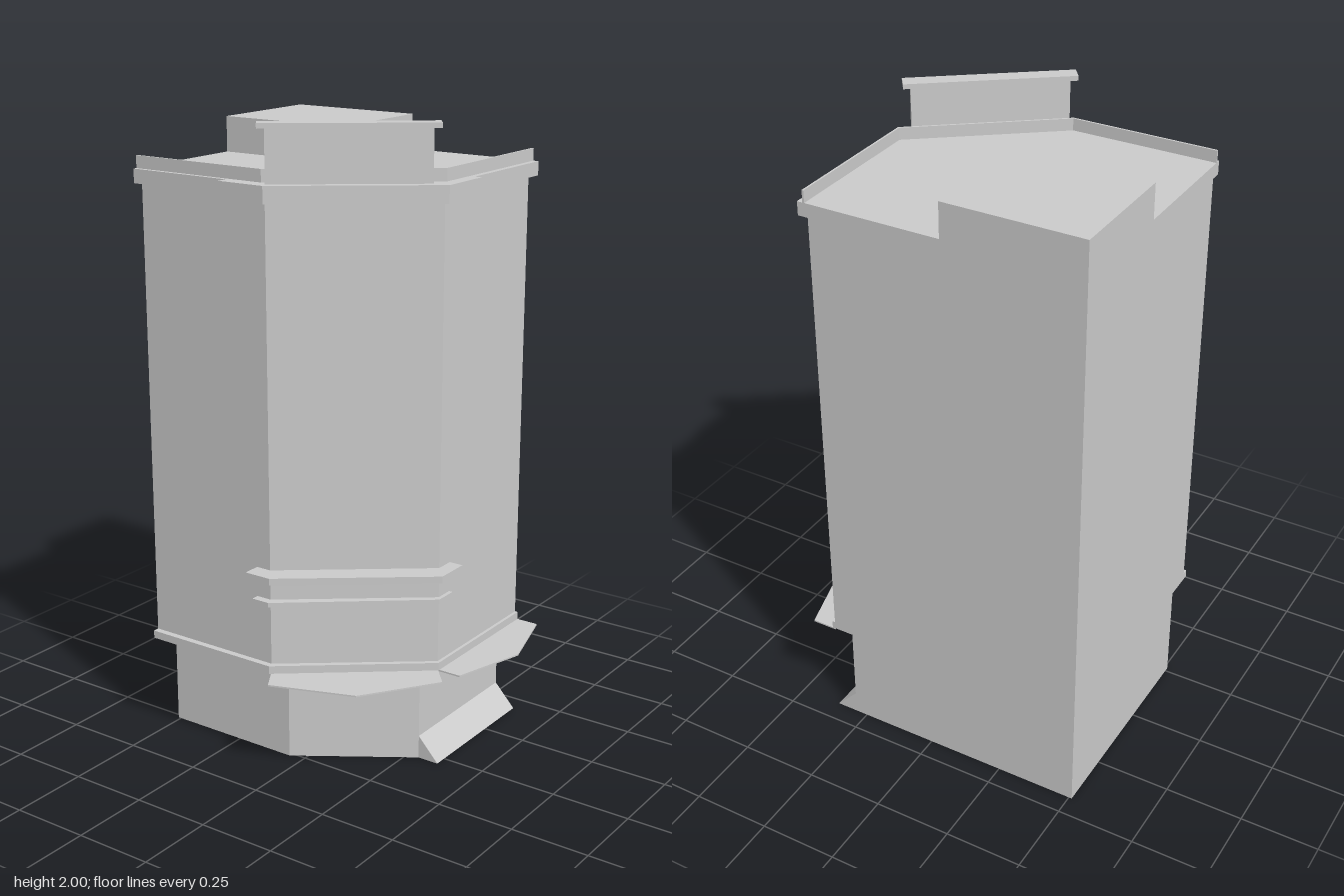
import * as THREE from 'three';

const material = new THREE.MeshStandardMaterial({ color: 0xcccccc, flatShading: true });

export function createModel() {
  const model = new THREE.Group();

  const add = (name, geometry) => {
    const mesh = new THREE.Mesh(geometry, material);
    mesh.name = name;
    model.add(mesh);
    return mesh;
  };

  // Upright prism over a floor plan given as [x, z] corners
  const prism = (name, plan, y0, y1) => {
    const shape = new THREE.Shape(plan.map(([x, z]) => new THREE.Vector2(x, -z)));
    const geometry = new THREE.ExtrudeGeometry(shape, { depth: y1 - y0, bevelEnabled: false });
    geometry.rotateX(-Math.PI / 2);
    geometry.translate(0, y0, 0);
    return add(name, geometry);
  };

  // Ledge along front, cut corner and side; its inner edge sits inside the walls
  const ledge = (name, outer, y0, y1) => {
    const xStart = outer[0][0], zEnd = outer[3][1];
    return prism(name, [...outer, [0.3, zEnd], [0.3, 0.0], [-0.08, 0.3], [xStart, 0.3]], y0, y1);
  };

  const L = -0.51, B = -0.433;

  // Walls: recessed ground floor and tall upper storeys with a cut corner
  prism('groundFloor', [[L, B], [L, 0.265], [-0.05, 0.265], [0.29, 0.04], [0.29, B]], 0, 0.33);
  prism('upperWalls', [[L, B], [L, 0.35], [-0.05, 0.35], [0.355, 0.04], [0.355, B]], 0.325, 1.83);

  // Sloped kerb along the side
  const kerb = new THREE.ExtrudeGeometry(
    new THREE.Shape([[0.28, 0], [0.36, 0], [0.29, 0.075], [0.28, 0.075]].map(p => new THREE.Vector2(...p))),
    { depth: 0.04 - B, bevelEnabled: false });
  kerb.translate(0, 0, B);
  add('sideKerb', kerb);

  // Flat pointed canopies over the ground floor
  prism('cornerCanopy', [[-0.05, 0.35], [0.0, 0.433], [0.26, 0.34], [0.418, 0.112], [0.355, 0.04]], 0.32, 0.325);
  prism('sideCanopy', [[0.355, 0.045], [0.437, 0.045], [0.505, -0.195], [0.437, B], [0.355, B]], 0.32, 0.325);

  // Ledges, bottom to top
  ledge('lowerLedge', [[L, 0.37], [-0.045, 0.37], [0.365, 0.05], [0.365, B]], 0.325, 0.35);
  ledge('thinCornerLedge', [[-0.1, 0.375], [-0.04, 0.375], [0.367, 0.055], [0.367, -0.02]], 0.548, 0.562);
  ledge('wideCornerLedge', [[-0.1, 0.405], [-0.012, 0.405], [0.4, 0.092], [0.4, -0.02]], 0.635, 0.657);
  ledge('roofCornice', [[L, 0.385], [-0.04, 0.385], [0.388, 0.07], [0.388, B]], 1.787, 1.83);
  ledge('cornerCornice', [[-0.163, 0.417], [-0.005, 0.417], [0.41, 0.105], [0.41, -0.065]], 1.778, 1.83);

  // Thin parapet around the street sides of the roof
  prism('parapet', [
    [L, 0.372], [-0.045, 0.372], [0.37, 0.055], [0.37, B],
    [0.364, B], [0.364, 0.052], [-0.047, 0.366], [L, 0.366],
  ], 1.83, 1.868);

  // Block on the roof, flush with the back corner
  prism('roofBlock', [[L, B], [L, -0.05], [-0.068, -0.05], [-0.068, B]], 1.82, 1.94);

  // Raised panel with a cap above the cut corner
  const corner = (name, length, height, depth, y) => {
    const mesh = add(name, new THREE.BoxGeometry(length, height, depth));
    mesh.position.set(0.164, y, 0.24);
    mesh.rotation.y = Math.atan2(0.31, 0.41);
  };
  corner('cornerPanel', 0.47, 0.155, 0.03, 1.9075);
  corner('cornerPanelCap', 0.514, 0.015, 0.05, 1.9925);

  return model;
}
